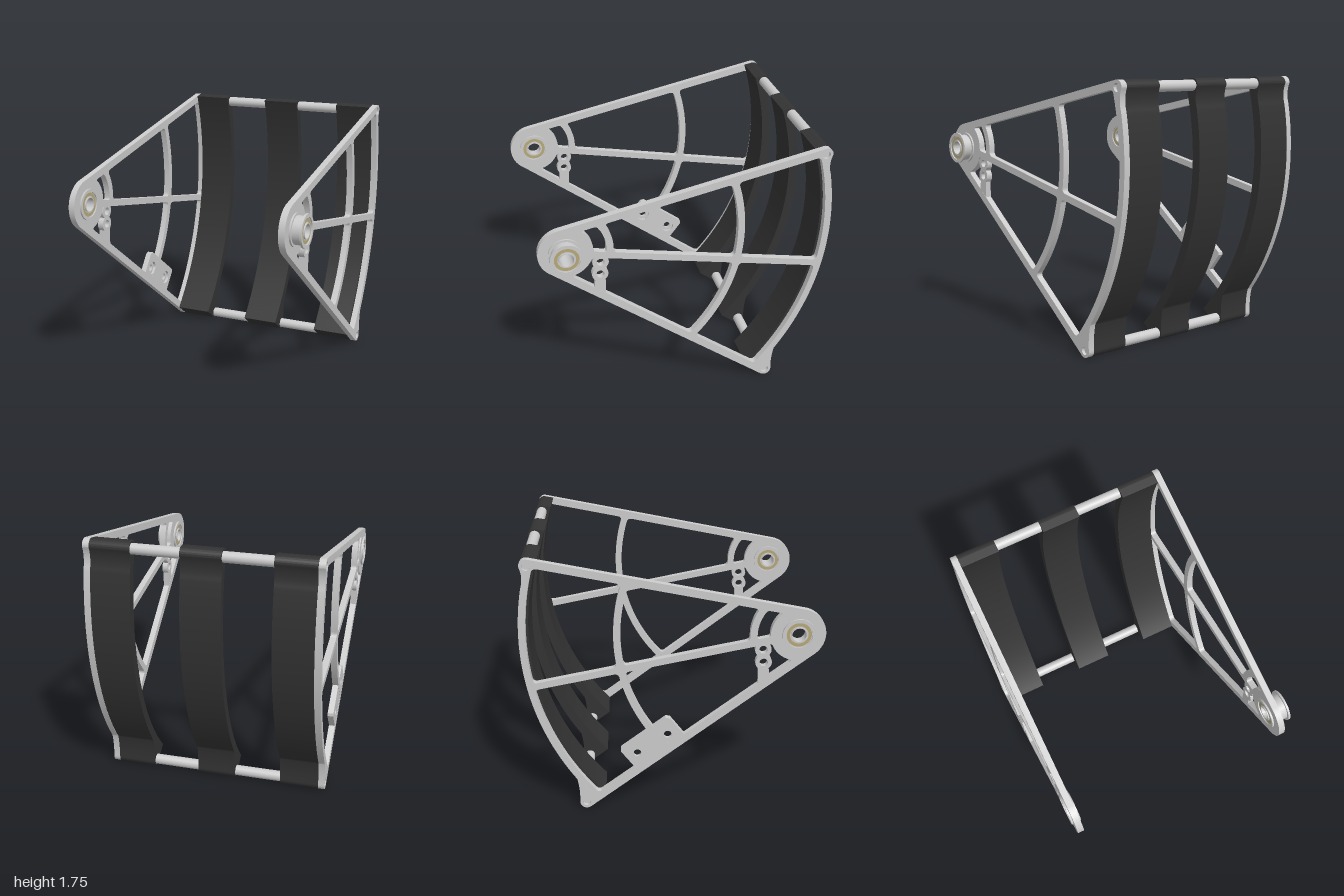
import * as THREE from 'three';
import { toCreasedNormals } from 'three/addons/utils/BufferGeometryUtils.js';

const grey = new THREE.MeshStandardMaterial({ color: 0xcccccc });
const dark = new THREE.MeshStandardMaterial({ color: 0x333333 });
const brass = new THREE.MeshStandardMaterial({ color: 0xb5a878 });

// Side profiles are drawn around the pivot: shape x runs to the back, y up.
const PIVOT_Y = 1.238, PIVOT_Z = 0.796, T = 0.042;
const LEFT_X = 0.67, RIGHT_X = -0.787;
const rad = THREE.MathUtils.degToRad;
const polar = (r, a) => new THREE.Vector2(r * Math.cos(a), r * Math.sin(a));
const TOP = rad(11.6), LOW = rad(-37.2), SPOKE = rad(-11.3);
const topRod = polar(1.738, rad(15.7)), lowRod = polar(1.81, rad(-41.2));

// Angle of each bar edge at a given distance from the pivot
const topEdge = d => r => TOP + Math.asin(d / r);
const lowEdge = d => r => LOW - Math.asin(d / r);
const spokeEdge = s => r => SPOKE + s * Math.asin(0.0225 / r);

function place(geo, x) {
  return geo.rotateY(Math.PI / 2).translate(x, PIVOT_Y, PIVOT_Z);
}

function slab(name, shape, x, depth, material) {
  const geo = new THREE.ExtrudeGeometry(shape, { depth, bevelEnabled: false, curveSegments: 36 });
  const mesh = new THREE.Mesh(toCreasedNormals(place(geo, x), 0.5), material);
  mesh.name = name;
  return mesh;
}

function circle(c, r) {
  const p = new THREE.Path();
  p.absarc(c.x, c.y, r, 0, Math.PI * 2, true);
  return p;
}

// Back rim with its rounded corners, shared by the frames and straps
function addRim(s) {
  s.absarc(lowRod.x, lowRod.y, 0.045, LOW - Math.PI / 2, 0, false);
  const a = polar(1.745, rad(-35.5));
  s.quadraticCurveTo(1.4, -1.1, a.x, a.y);
  s.absarc(0, 0, 1.745, rad(-35.5), rad(11), false);
  s.quadraticCurveTo(1.69, 0.405, topRod.x + 0.045, topRod.y);
  s.absarc(topRod.x, topRod.y, 0.045, 0, TOP + Math.PI / 2, false);
}

// Opening between two radii and two bar edges, with rounded corners
function opening(r1, r2, lo, hi, f) {
  const p = new THREE.Path();
  const start = polar(r1 + f, lo(r1 + f));
  const line = (r, e) => { const v = polar(r, e(r)); p.lineTo(v.x, v.y); };
  const round = (c, v) => p.quadraticCurveTo(c.x, c.y, v.x, v.y);
  p.moveTo(start.x, start.y);
  line(r2 - f, lo);
  round(polar(r2, lo(r2)), polar(r2, lo(r2) + f / r2));
  p.absarc(0, 0, r2, lo(r2) + f / r2, hi(r2) - f / r2, false);
  round(polar(r2, hi(r2)), polar(r2 - f, hi(r2 - f)));
  line(r1 + f, hi);
  round(polar(r1, hi(r1)), polar(r1, hi(r1) - f / r1));
  p.absarc(0, 0, r1, hi(r1) - f / r1, lo(r1) + f / r1, true);
  round(polar(r1, lo(r1)), start);
  return p;
}

function frameShape() {
  const s = new THREE.Shape();
  s.absarc(0, 0, 0.17, TOP + Math.PI / 2, LOW + Math.PI * 1.5, false);
  addRim(s);
  s.closePath();
  const up = spokeEdge(1), down = spokeEdge(-1), top = topEdge(0.12), low = lowEdge(0.12);
  s.holes.push(
    circle(new THREE.Vector2(), 0.09),
    circle(topRod, 0.026), circle(lowRod, 0.026),
    opening(0.178, 0.26, up, top, 0.015),
    opening(0.305, 1.115, up, top, 0.03),
    opening(1.16, 1.7, up, top, 0.03),
    opening(0.178, 1.115, low, down, 0.025),
    opening(1.16, 1.7, low, down, 0.03)
  );
  return s;
}

// Scalloped lug with two holes, between the spoke and the lower bar
function lugShape() {
  const a = new THREE.Vector2(0.22, -0.1), b = new THREE.Vector2(0.215, -0.188), r = 0.052;
  const s = new THREE.Shape();
  s.absarc(a.x, a.y, r, rad(-50), rad(230), false);
  s.absarc(b.x, b.y, r, rad(130), rad(230), false);
  s.lineTo(0.175, -0.3);
  s.lineTo(0.245, -0.35);
  s.absarc(b.x, b.y, r, rad(-50), rad(50), false);
  s.closePath();
  s.holes.push(circle(a, 0.026), circle(b, 0.026));
  return s;
}

// Stepped bearing; end is how far it reaches past the frame's inner datum
function bearing(x, end, long) {
  const g = new THREE.Group();
  g.name = 'pivotBearing';
  const outer = long
    ? [[0.105, 0.053], [0.09, 0.053], [0.09, end - 0.014], [0.107, end - 0.014], [0.107, end]]
    : [[0.105, end]];
  const pts = [
    [0.045, -0.012], [0.052, -0.012], [0.052, -0.004], [0.085, -0.004], [0.085, -0.012], [0.105, -0.012],
    ...outer,
    [0.085, end], [0.085, end - 0.008], [0.052, end - 0.008], [0.052, end], [0.045, end], [0.045, -0.012]
  ].map(([r, h]) => new THREE.Vector2(r, h));
  const geo = new THREE.LatheGeometry(pts, 48).rotateZ(-Math.PI / 2).translate(x, PIVOT_Y, PIVOT_Z);
  const body = new THREE.Mesh(toCreasedNormals(geo, 0.5), grey);
  body.name = 'bearingBody';
  g.add(body);
  for (const [h, turn] of [[-0.005, -1], [end - 0.007, 1]]) {
    const seal = new THREE.Mesh(new THREE.RingGeometry(0.058, 0.079, 40), brass);
    seal.name = 'bearingSeal';
    seal.rotation.y = turn * Math.PI / 2;
    seal.position.set(x + h, PIVOT_Y, PIVOT_Z);
    g.add(seal);
  }
  return g;
}

// Mounting flange along the lower bar, with counterbored holes
function flange() {
  const g = new THREE.Group();
  g.name = 'mountingFlange';
  const holes = [new THREE.Vector2(0.822, -0.691), new THREE.Vector2(1.02, -0.825)];
  const along = polar(1, LOW), side = polar(1, LOW + Math.PI / 2);
  const at = (u, v) => along.clone().multiplyScalar(u).addScaledVector(side, v);
  [[0.025, RIGHT_X + 0.001, 0.022], [0.047, RIGHT_X + 0.022, 0.019]].forEach(([r, x, depth]) => {
    const s = new THREE.Shape([at(0.99, -0.15), at(1.39, -0.15), at(1.39, 0.035), at(1.375, 0.05),
      at(1.01, 0.05), at(0.99, 0.03)]);
    holes.forEach(h => s.holes.push(circle(h, r)));
    g.add(slab('flangePlate', s, x, depth, grey));
  });
  return g;
}

function strapShape() {
  const r = 1.685, a = topEdge(0.17)(r), b = lowEdge(0.17)(r);
  const s = new THREE.Shape();
  s.absarc(0, 0, r, a, b, true);
  addRim(s);
  s.closePath();
  return s;
}

export function createModel() {
  const model = new THREE.Group();
  model.name = 'swingGuard';
  const body = new THREE.Group();
  body.name = 'guardBody';
  body.rotation.y = rad(3);
  model.add(body);

  // Side frames
  for (const [name, x] of [['leftFrame', LEFT_X], ['rightFrame', RIGHT_X]]) {
    const frame = new THREE.Group();
    frame.name = name;
    frame.add(slab('framePlate', frameShape(), x, T, grey));
    frame.add(slab('lug', lugShape(), x + 0.001, T - 0.002, grey));
    const isLeft = x > 0;
    frame.add(bearing(x, isLeft ? 0.122 : 0.053, isLeft));
    if (!isLeft) frame.add(flange());
    body.add(frame);
  }

  // Cross rods
  const inner = RIGHT_X + T / 2, span = LEFT_X + T / 2 - inner;
  for (const [name, c] of [['topRod', topRod], ['bottomRod', lowRod]]) {
    const rod = new THREE.Mesh(new THREE.CylinderGeometry(0.035, 0.035, span, 32), grey);
    rod.name = name;
    rod.rotation.z = Math.PI / 2;
    rod.position.set(inner + span / 2, PIVOT_Y + c.y, PIVOT_Z - c.x);
    body.add(rod);
  }

  // Curved straps
  const width = 0.26;
  [-0.744, -0.167, 0.409].forEach(x => body.add(slab('strap', strapShape(), x, width, dark)));

  return model;
}
